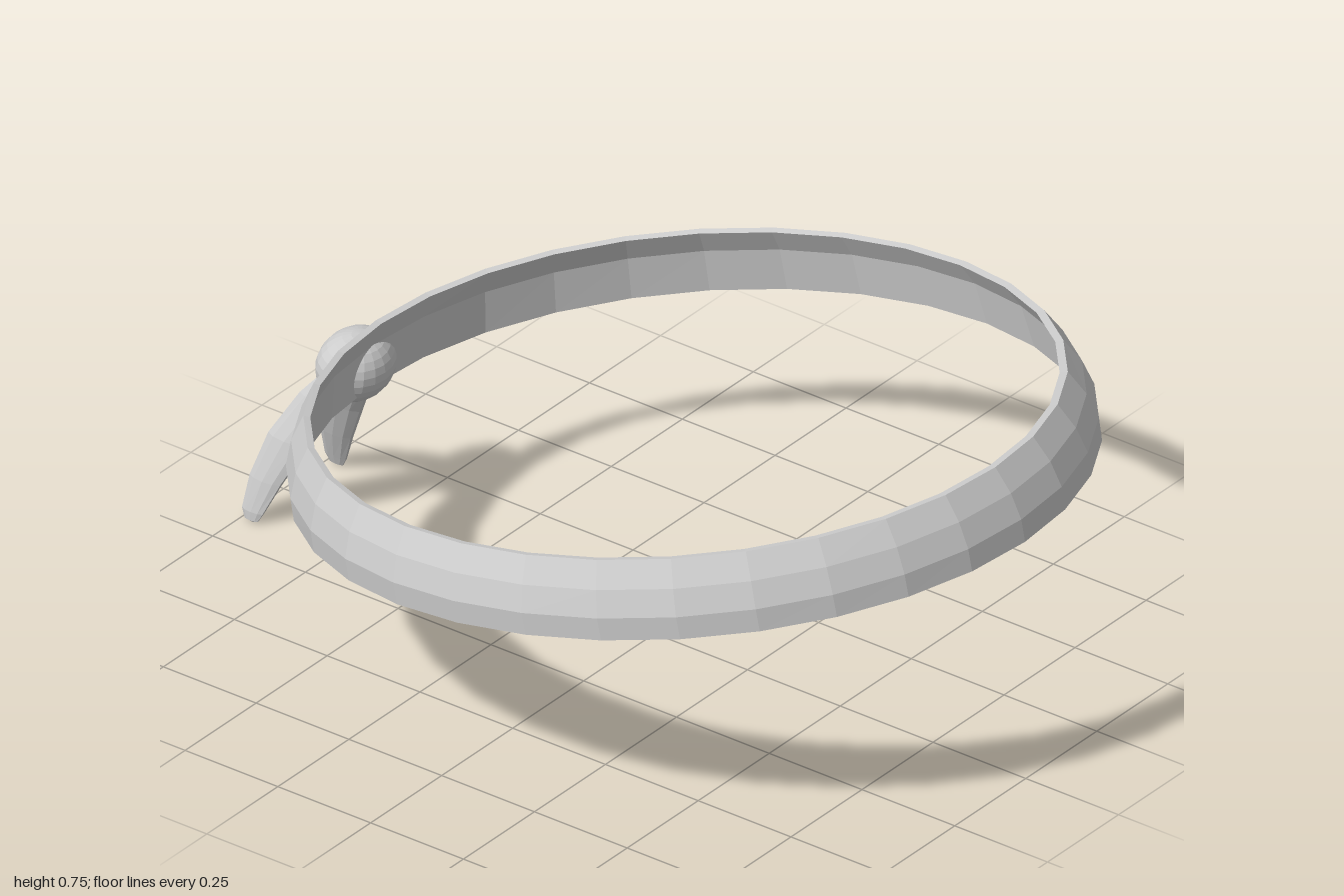
import * as THREE from 'three';

// Skin made of rows of points; each row is a closed loop of n points.
function loft(rows, n, point, closed) {
  const pos = [], idx = [];
  for (let r = 0; r < rows; r++)
    for (let i = 0; i < n; i++) pos.push(...point(r, (i / n) * Math.PI * 2));
  const last = closed ? rows : rows - 1;
  for (let r = 0; r < last; r++)
    for (let i = 0; i < n; i++) {
      const j = (i + 1) % n, q = (r + 1) % rows;
      const a = r * n + i, b = r * n + j, c = q * n + j, d = q * n + i;
      idx.push(a, b, c, a, c, d);
    }
  const g = new THREE.BufferGeometry();
  g.setAttribute('position', new THREE.Float32BufferAttribute(pos, 3));
  g.setIndex(idx);
  g.computeVertexNormals();
  return g;
}

export function createModel() {
  const group = new THREE.Group();
  const cloth = new THREE.MeshStandardMaterial({ color: 0xcccccc, flatShading: true });
  cloth.name = 'cloth grey';

  const add = (name, geometry) => {
    const mesh = new THREE.Mesh(geometry, cloth);
    mesh.name = name;
    group.add(mesh);
    return mesh;
  };

  // Tilted, flaring band. Section rings: half width, front z, back z, front y, back y
  const section = [
    [0.84, 0.998, -0.778, 0.588, 0.337],
    [0.843, 0.988, -0.785, 0.64, 0.39],
    [0.824, 0.96, -0.776, 0.695, 0.45],
    [0.79, 0.918, -0.752, 0.745, 0.508],
    [0.774, 0.9, -0.737, 0.741, 0.505],
    [0.806, 0.942, -0.758, 0.69, 0.445],
    [0.823, 0.978, -0.763, 0.593, 0.34],
  ];
  add('headband', loft(section.length, 32, (r, a) => {
    const [w, zf, zb, yf, yb] = section[r];
    const t = (1 + Math.cos(a)) / 2;
    return [w * Math.sin(a), yb + (yf - yb) * t, zb + (zf - zb) * t];
  }, true));

  // Knot at the back
  const knot = add('knot', new THREE.SphereGeometry(1, 20, 14));
  knot.scale.set(0.1, 0.08, 0.08);
  knot.position.set(0, 0.382, -0.805);
  knot.rotation.x = 0.15;

  // Two curved hanging ends: x, y, z, half thickness, half width
  const tail = [
    [0.02, 0.37, -0.82, 0, 0],
    [0.025, 0.36, -0.825, 0.014, 0.04],
    [0.052, 0.3, -0.86, 0.019, 0.055],
    [0.092, 0.2, -0.914, 0.02, 0.055],
    [0.124, 0.1, -0.952, 0.016, 0.043],
    [0.146, 0.025, -0.971, 0.009, 0.029],
    [0.15, 0.004, -0.972, 0.005, 0.018],
    [0.151, 0, -0.968, 0, 0],
  ];
  for (const [name, side] of [['leftTail', 1], ['rightTail', -1]])
    add(name, loft(tail.length, 10, (r, a) => {
      const [x, y, z, t, w] = tail[r];
      return [side * x + t * Math.cos(a), y, z + w * Math.sin(a)];
    }, false));

  return group;
}
